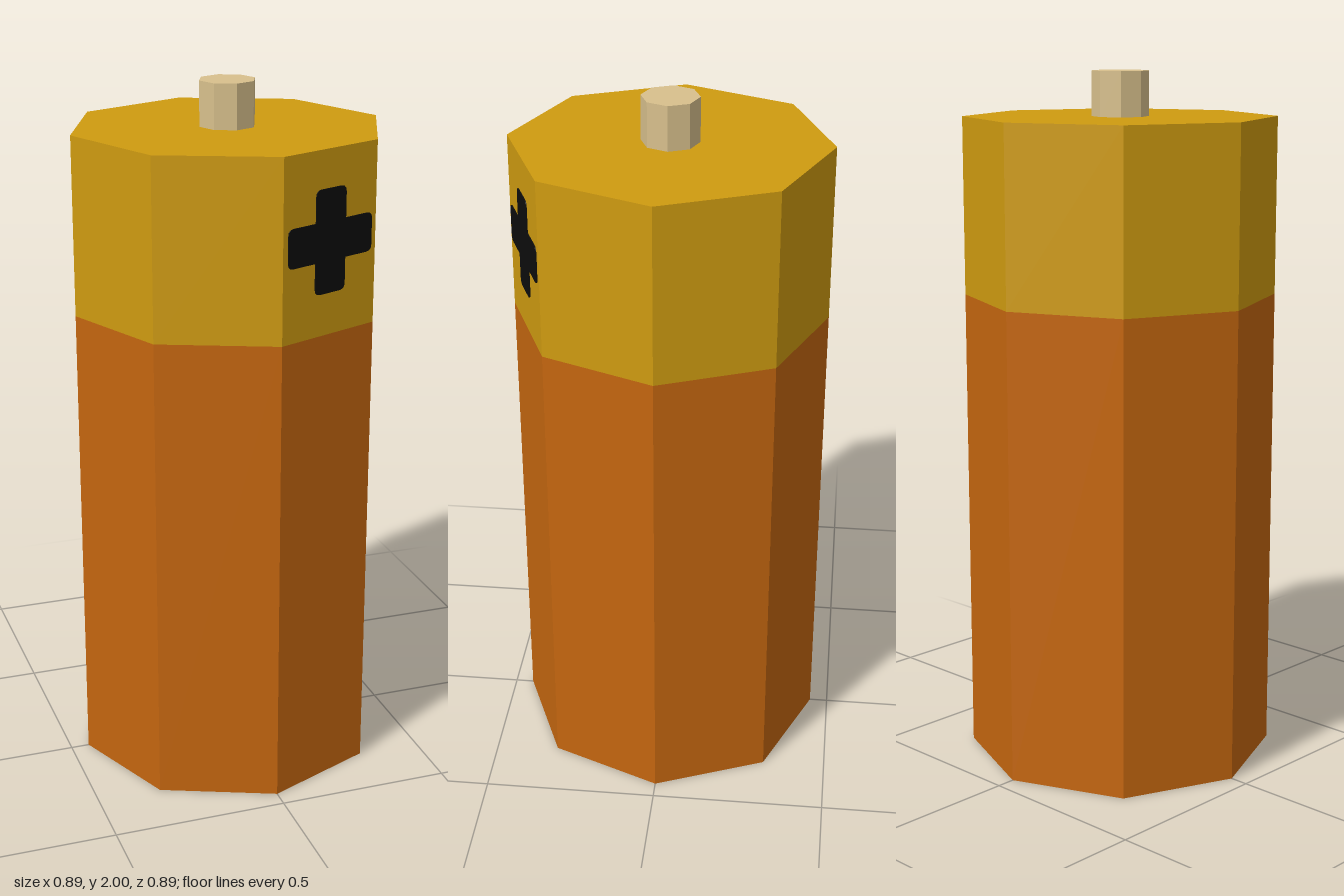
import * as THREE from 'three';

const SIDES = 8;
const RADIUS = 0.447;
const SPLIT = 1.365; // height where the orange sleeve meets the gold cap
const SHOULDER = 1.873;

function material(name, color) {
  const m = new THREE.MeshStandardMaterial({ color, flatShading: true });
  m.name = name;
  return m;
}

// Eight-sided prism standing between two heights
function prism(name, radius, y0, y1, mat, open = false) {
  const geometry = new THREE.CylinderGeometry(radius, radius, y1 - y0, SIDES, 1, open);
  geometry.translate(0, (y0 + y1) / 2, 0);
  const mesh = new THREE.Mesh(geometry, mat);
  mesh.name = name;
  return mesh;
}

// Plus outline with slightly rounded arm ends
function plusShape(halfW, halfH, armX, armY, r) {
  const shape = new THREE.Shape();
  shape.moveTo(halfW, -armY + r);
  shape.lineTo(halfW, armY - r);
  shape.quadraticCurveTo(halfW, armY, halfW - r, armY);
  shape.lineTo(armX, armY);
  shape.lineTo(armX, halfH - r);
  shape.quadraticCurveTo(armX, halfH, armX - r, halfH);
  shape.lineTo(-armX + r, halfH);
  shape.quadraticCurveTo(-armX, halfH, -armX, halfH - r);
  shape.lineTo(-armX, armY);
  shape.lineTo(-halfW + r, armY);
  shape.quadraticCurveTo(-halfW, armY, -halfW, armY - r);
  shape.lineTo(-halfW, -armY + r);
  shape.quadraticCurveTo(-halfW, -armY, -halfW + r, -armY);
  shape.lineTo(-armX, -armY);
  shape.lineTo(-armX, -halfH + r);
  shape.quadraticCurveTo(-armX, -halfH, -armX + r, -halfH);
  shape.lineTo(armX - r, -halfH);
  shape.quadraticCurveTo(armX, -halfH, armX, -halfH + r);
  shape.lineTo(armX, -armY);
  shape.lineTo(halfW - r, -armY);
  shape.quadraticCurveTo(halfW, -armY, halfW, -armY + r);
  return shape;
}

export function createModel() {
  const orange = material('orange sleeve', 0xc4660f);
  const gold = material('gold cap', 0xcf9b10);
  const metal = material('tan metal', 0xd8c08c);
  const black = material('black paint', 0x0d0d0d);

  const group = new THREE.Group();
  group.name = 'battery';

  // Casing in two colours and the contact on top
  group.add(prism('sleeve', RADIUS, 0, SPLIT, orange));
  group.add(prism('cap', RADIUS, SPLIT, SHOULDER, gold));
  group.add(prism('terminal', 0.081, SHOULDER, 2, metal));

  // Plus mark painted on the front face to the model's left
  const angle = Math.PI / SIDES;
  const apothem = RADIUS * Math.cos(angle);
  const plate = new THREE.ExtrudeGeometry(plusShape(0.154, 0.143, 0.055, 0.054, 0.018), {
    depth: 0.003, bevelEnabled: false, curveSegments: 3,
  });
  const plus = new THREE.Mesh(plate, black);
  plus.name = 'plusMark';
  plus.position.set(Math.sin(angle) * apothem, 1.625, Math.cos(angle) * apothem);
  plus.rotation.y = angle;
  group.add(plus);

  return group;
}
